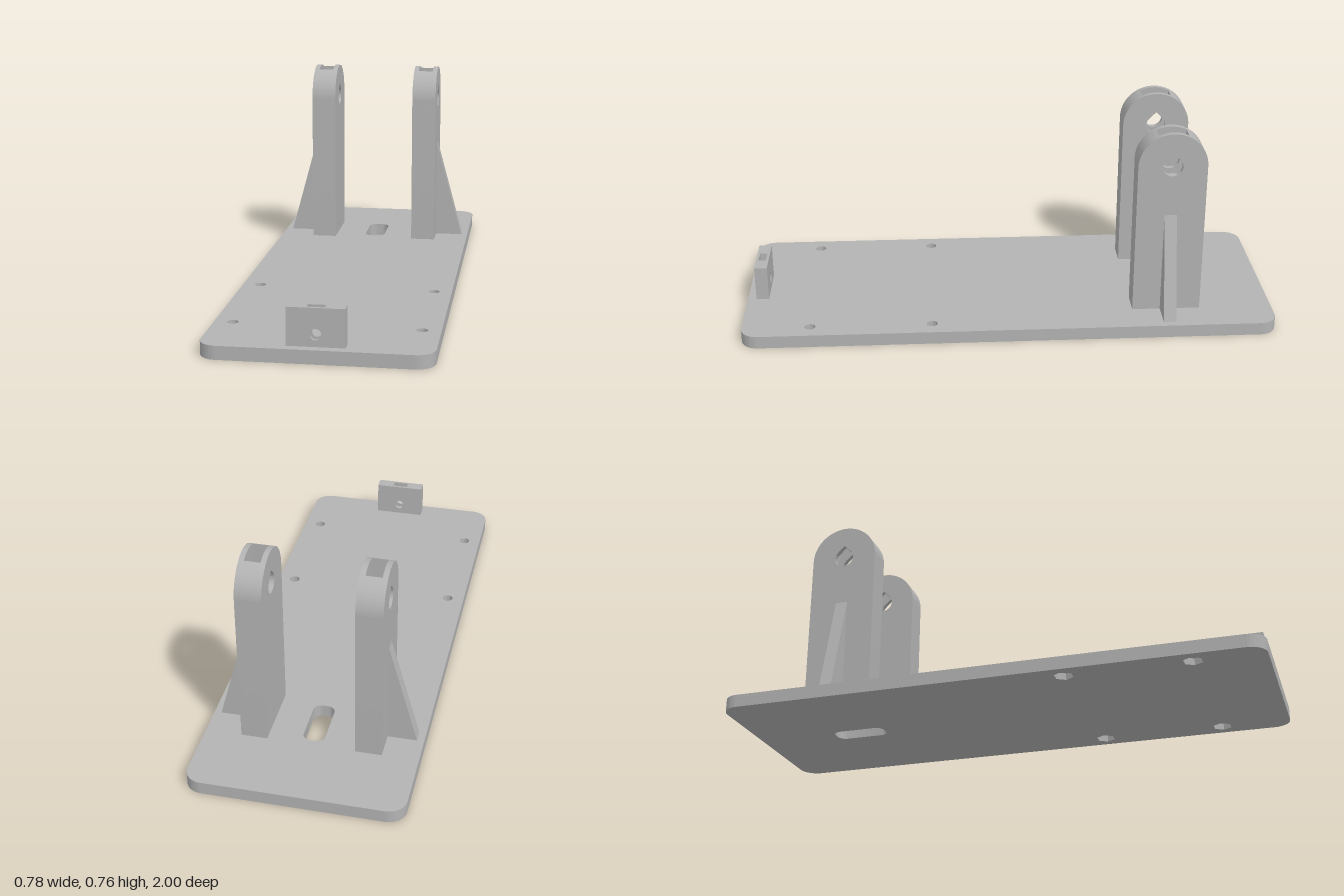
import * as THREE from 'three';
import { toCreasedNormals } from 'three/addons/utils/BufferGeometryUtils.js';

const BASE_TOP = 0.048;
const grey = new THREE.MeshStandardMaterial({ color: 0xb3b3b3 });
grey.name = 'plain grey';

function extrude(shape, depth) {
  const geo = new THREE.ExtrudeGeometry(shape, { depth, bevelEnabled: false, curveSegments: 20 });
  return toCreasedNormals(geo, 0.6);
}

function part(name, geo) {
  const mesh = new THREE.Mesh(geo, grey);
  mesh.name = name;
  return mesh;
}

// Trace a centred rounded rectangle
function roundedRect(path, cx, cy, hw, hh, r) {
  path.absarc(cx + hw - r, cy - hh + r, r, -Math.PI / 2, 0);
  path.absarc(cx + hw - r, cy + hh - r, r, 0, Math.PI / 2);
  path.absarc(cx - hw + r, cy + hh - r, r, Math.PI / 2, Math.PI);
  path.absarc(cx - hw + r, cy - hh + r, r, Math.PI, Math.PI * 1.5);
  path.closePath();
  return path;
}

const circle = (x, y, r) => new THREE.Path().absarc(x, y, r, 0, Math.PI * 2);

function hexagon(x, y, r) {
  const pts = [];
  for (let i = 0; i < 6; i++) {
    const a = (i * Math.PI) / 3;
    pts.push(new THREE.Vector2(x + r * Math.cos(a), y + r * Math.sin(a)));
  }
  return new THREE.Path(pts);
}

function polygon(points) {
  return new THREE.Shape(points.map(([x, y]) => new THREE.Vector2(x, y)));
}

// One layer of the base plate, with its slot and four fixing holes
function baseLayer(name, y0, y1, makeHole) {
  const shape = roundedRect(new THREE.Shape(), 0, 0, 0.39, 1, 0.065);
  shape.holes.push(roundedRect(new THREE.Path(), 0, 0.6, 0.04, 0.1, 0.03));
  for (const x of [-0.325, 0.325]) {
    for (const z of [0.292, 0.746]) shape.holes.push(makeHole(x, -z));
  }
  const geo = extrude(shape, y1 - y0);
  geo.rotateX(-Math.PI / 2).translate(0, y0, 0);
  return part(name, geo);
}

// Upright with a round top, a teardrop axle hole and a nut pocket open at the top
function createTower(name) {
  const W = 0.128, CY = 0.633, R = 0.037, POCKET = 0.055, FLOOR = 0.575;
  const tower = new THREE.Group();
  tower.name = name;

  const cheek = new THREE.Shape();
  cheek.moveTo(-W, BASE_TOP);
  cheek.lineTo(W, BASE_TOP);
  cheek.absarc(0, CY, W, 0, Math.PI);
  cheek.closePath();
  const teardrop = new THREE.Path();
  teardrop.absarc(0, CY, R, Math.PI * 0.75, Math.PI * 2.25);
  teardrop.lineTo(0, CY + R * Math.SQRT2);
  teardrop.closePath();
  cheek.holes.push(teardrop);

  const a = Math.acos(POCKET / W);
  const core = new THREE.Shape();
  core.moveTo(-W, BASE_TOP);
  core.lineTo(W, BASE_TOP);
  core.absarc(0, CY, W, 0, a);
  core.lineTo(POCKET, FLOOR);
  core.lineTo(-POCKET, FLOOR);
  core.absarc(0, CY, W, Math.PI - a, Math.PI);
  core.closePath();

  const layers = [
    ['innerCheek', cheek, 0.161, 0.18],
    ['pocketCore', core, 0.18, 0.238],
    ['outerCheek', cheek, 0.238, 0.257],
  ];
  for (const [label, shape, x0, x1] of layers) {
    const geo = extrude(shape, x1 - x0);
    geo.rotateY(Math.PI / 2).translate(x0, 0, 0);
    tower.add(part(label, geo));
  }

  // Triangular bracing rib on the outside
  const rib = extrude(polygon([[0.257, BASE_TOP], [0.364, BASE_TOP], [0.257, 0.44]]), 0.046);
  rib.translate(0, 0, -0.023);
  tower.add(part('rib', rib));

  tower.position.z = -0.596;
  return tower;
}

// Front tab with a screw hole and a small nut pocket
function createTab() {
  const tab = new THREE.Group();
  tab.name = 'frontTab';
  const W = 0.098, TOP = 0.18, P = 0.03, FLOOR = 0.06;
  const face = polygon([[-W, BASE_TOP], [W, BASE_TOP], [W, TOP], [-W, TOP]]);
  face.holes.push(circle(0, 0.09, 0.019));
  const core = polygon([
    [-W, BASE_TOP], [W, BASE_TOP], [W, TOP], [P, TOP],
    [P, FLOOR], [-P, FLOOR], [-P, TOP], [-W, TOP],
  ]);
  const layers = [
    ['backFace', face, 0.919, 0.929],
    ['pocketCore', core, 0.929, 0.957],
    ['frontFace', face, 0.957, 0.967],
  ];
  for (const [label, shape, z0, z1] of layers) {
    tab.add(part(label, extrude(shape, z1 - z0).translate(0, 0, z0)));
  }
  return tab;
}

export function createModel() {
  const model = new THREE.Group();
  model.name = 'mountingStand';

  // Base plate: hexagonal nut recesses below, round screw holes above
  model.add(baseLayer('baseBottom', 0, 0.025, (x, y) => hexagon(x, y, 0.036)));
  model.add(baseLayer('baseTop', 0.025, BASE_TOP, (x, y) => circle(x, y, 0.02)));

  const left = createTower('leftTower');
  const right = createTower('rightTower');
  right.rotation.y = Math.PI;
  model.add(left, right, createTab());
  return model;
}
